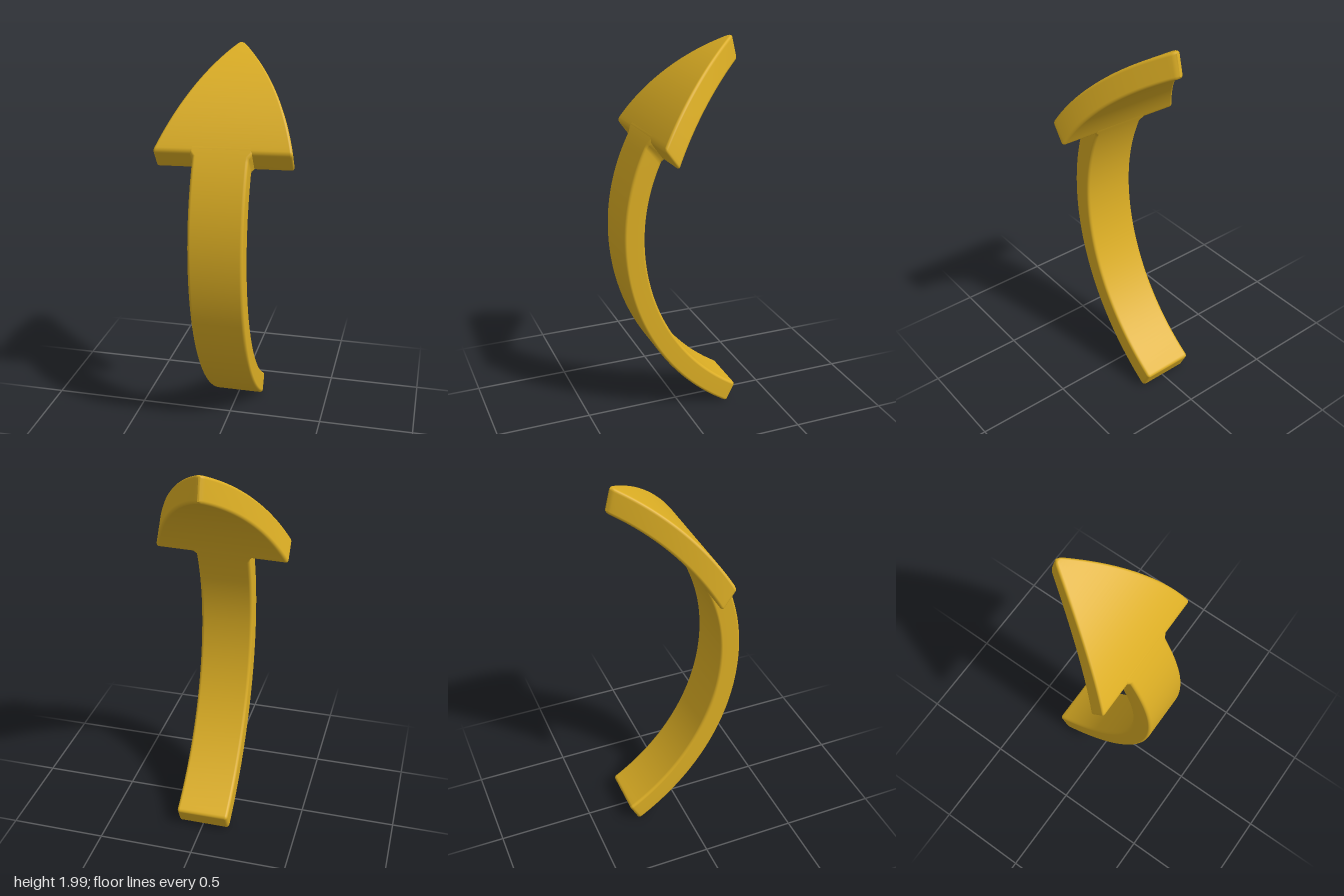
import * as THREE from 'three';

const DEG = Math.PI / 180;
const BOTTOM = -59, BASE = 28.8, TIP = 65; // angles along the bow, degrees
const BEVEL = 0.016, THICK = 0.125;

// Point on the bent slab: x across, depth 0 (front face) to 1 (back face), angle along the bow
function bend(x, depth, angle) {
  // the head's base is tilted a little; the tilt fades out towards both ends
  const k = angle < BASE ? Math.max(0, angle) / BASE : Math.max(0, (TIP - angle) / (TIP - BASE));
  const a = (angle - 2.5 * depth * k) * DEG;
  const R = a < 0 ? THREE.MathUtils.lerp(1.19, 1.07, depth) : THREE.MathUtils.lerp(1.081, 0.943, depth);
  const zFront = THREE.MathUtils.lerp(0.325, 0.215, depth);
  return [x, 1.02 + R * Math.sin(a) + 0.025 * x * k, zFront - R * (1 - Math.cos(a))];
}

// Rounded rectangle from xl to xr, as [x, depth] pairs
function section(xl, xr, inset) {
  const e = Math.min(inset, (xr - xl) * 0.3);
  const r = Math.min(Math.max(BEVEL - e, 0.002), (xr - xl - 2 * e) * 0.45);
  const l = xl + e + r, h = xr - e - r, f = e + r, b = THICK - e - r;
  const corners = [[l, f, 180], [h, f, 270], [h, b, 0], [l, b, 90]];
  const pts = [];
  for (const [cx, cd, start] of corners) {
    for (let i = 0; i <= 4; i++) {
      const t = (start + i * 22.5) * DEG;
      pts.push([cx + r * Math.cos(t), (cd + r * Math.sin(t)) / THICK]);
    }
  }
  return pts;
}

// Loft between two angles with rounded ends; edges(angle) gives the left and right x
function bentLoft(from, to, steps, edges) {
  const stops = [];
  const round = (i) => {
    const t = (i / 4) * Math.PI / 2;
    return [BEVEL * (1 - Math.sin(t)), BEVEL * (1 - Math.cos(t)) / DEG];
  };
  const roll = BEVEL / DEG;
  for (let i = 0; i < 4; i++) {
    const [inset, shift] = round(i);
    stops.push([from + shift, inset]);
  }
  for (let i = 0; i <= steps; i++) stops.push([from + roll + (to - from - 2 * roll) * i / steps, 0]);
  for (let i = 3; i >= 0; i--) {
    const [inset, shift] = round(i);
    stops.push([to - shift, inset]);
  }

  const pos = [], index = [];
  let n = 0;
  for (const [angle, inset] of stops) {
    const loop = section(...edges(angle), inset);
    n = loop.length;
    for (const [x, d] of loop) pos.push(...bend(x, d, angle));
  }
  for (let i = 0; i < stops.length - 1; i++) {
    for (let j = 0; j < n; j++) {
      const a = i * n + j, b = i * n + (j + 1) % n;
      index.push(a, b, b + n, a, b + n, a + n);
    }
  }
  // end caps
  for (const [row, top] of [[0, false], [stops.length - 1, true]]) {
    const [xl, xr] = edges(stops[row][0]);
    const c = pos.length / 3;
    pos.push(...bend((xl + xr) / 2, 0.5, stops[row][0]));
    for (let j = 0; j < n; j++) {
      const a = row * n + j, b = row * n + (j + 1) % n;
      if (top) index.push(c, a, b); else index.push(c, b, a);
    }
  }
  const g = new THREE.BufferGeometry();
  g.setAttribute('position', new THREE.Float32BufferAttribute(pos, 3));
  g.setIndex(index);
  g.computeVertexNormals();
  return g;
}

// Shaft: constant width with a small fillet where it meets the head
function shaftEdges(angle) {
  const t = THREE.MathUtils.clamp((angle - (BASE - 1.3)) / 1.3, 0, 1);
  const flare = 0.02 * (1 - Math.sqrt(1 - t * t));
  return [-0.144 - flare, 0.136 + flare];
}

// Head: tapers to the tip, the right edge bulging more than the left
function headEdges(angle) {
  const f = (angle - BASE) / (TIP - BASE);
  const bow = f * (1 - f);
  return [-(0.35 * (1 - f) + 0.02 * f + 0.07 * bow), 0.35 * (1 - f) + 0.006 * f + 0.19 * bow];
}

export function createModel() {
  const group = new THREE.Group();
  const gold = new THREE.MeshStandardMaterial({ color: 0xdcae24 });
  gold.name = 'gold';

  const shaft = new THREE.Mesh(bentLoft(BOTTOM, BASE + 2.5, 72, shaftEdges), gold);
  shaft.name = 'shaft';
  const head = new THREE.Mesh(bentLoft(BASE, TIP, 40, headEdges), gold);
  head.name = 'arrowHead';
  group.add(shaft, head);
  return group;
}
